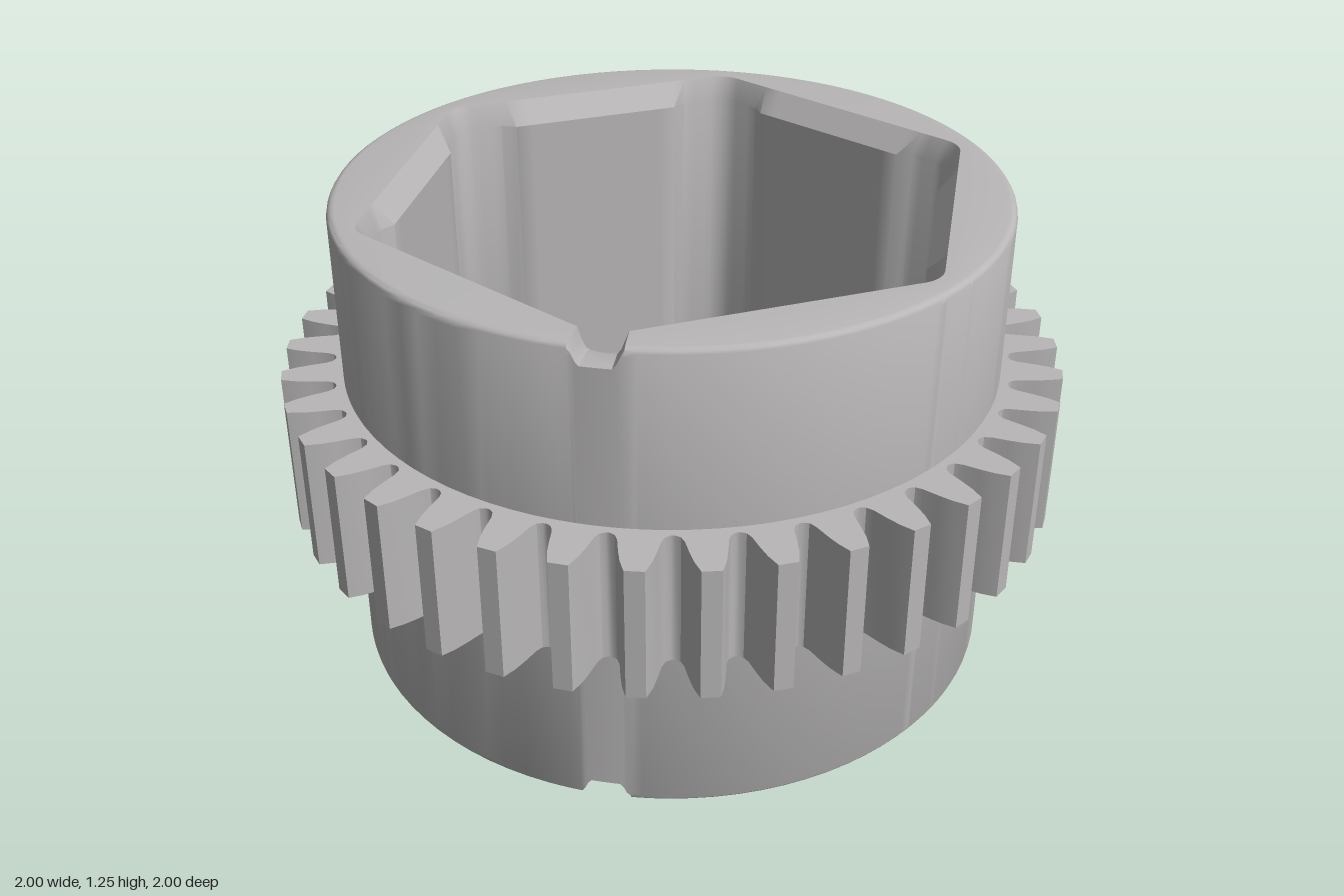
import * as THREE from 'three';
import { toCreasedNormals } from 'three/addons/utils/BufferGeometryUtils.js';

const HEIGHT = 1.25, RADIUS = 0.845, FILLET = 0.02, BEVEL = 0.06;
const RAD = Math.PI / 180;

// Radius of a hexagon with rounded corners; psi is the angle from a corner
function hexRadius(apothem, psi, round = 0.08) {
  const phi = Math.PI / 6 - Math.abs(psi);
  const t = Math.tan(Math.PI / 6);
  if (Math.tan(phi) < ((apothem - round) / apothem) * t) return apothem / Math.cos(phi);
  const d = (apothem - round) / Math.cos(Math.PI / 6);
  return d * Math.cos(psi) + Math.sqrt(round ** 2 - (d * Math.sin(psi)) ** 2);
}

// Bore apothem: raised flats that step back near each corner
function boreApothem(psi) {
  const deg = Math.abs(psi) / RAD;
  return 0.668 - 0.023 * THREE.MathUtils.clamp((deg - 8.2) / 2.15, 0, 1);
}

// Hollow drum, lofted from one closed section per angle
function drumGeometry() {
  const half = [0, 0.8, 1.6, 2.4, 3, 3.5, 4.2, 6, 8.2, 10.35, 14, 18, 22, 26];
  const offsets = [...half.slice(1).map((a) => -a).reverse(), ...half, 30];
  const columns = [];
  for (let k = 0; k < 6; k++) {
    for (const o of offsets) {
      const psi = o * RAD;
      // Notch depth at the front right corner
      const notch = k === 2 ? 0.05 * THREE.MathUtils.clamp((4.2 - Math.abs(o)) / 1.5, 0, 1) : 0;
      const section = [];
      for (let i = 0; i <= 4; i++) {
        const a = (i / 4) * Math.PI / 2;
        section.push([RADIUS - FILLET * (1 - Math.cos(a)), HEIGHT - FILLET * (1 - Math.sin(a))]);
      }
      section.push([hexRadius(0.69, psi), HEIGHT]);
      section.push([hexRadius(boreApothem(psi), psi), HEIGHT - BEVEL]);
      const lower = section.map(([r, y]) => [r, HEIGHT - y]).reverse();
      const loop = [...section, ...lower].map(([r, y]) =>
        [r, THREE.MathUtils.clamp(y, notch, HEIGHT - notch)]);
      columns.push({ angle: k * Math.PI / 3 + psi, loop });
    }
  }
  const positions = [], index = [];
  const n = columns[0].loop.length;
  columns.forEach(({ angle, loop }, c) => {
    const next = (c + 1) % columns.length;
    loop.forEach(([r, y], j) => {
      positions.push(r * Math.cos(angle), y, r * Math.sin(angle));
      const j2 = (j + 1) % n;
      const a = c * n + j, b = c * n + j2, d = next * n + j, e = next * n + j2;
      index.push(a, b, d, b, e, d);
    });
  });
  const geometry = new THREE.BufferGeometry();
  geometry.setAttribute('position', new THREE.Float32BufferAttribute(positions, 3));
  geometry.setIndex(index);
  return toCreasedNormals(geometry, 0.6);
}

// Toothed ring around the middle of the drum
function gearGeometry() {
  const teeth = 38;
  // Radius and half width up one flank of a tooth
  const flank = [[0.866, 0.067], [0.873, 0.055], [0.89, 0.048], [0.93, 0.042], [0.965, 0.035], [1, 0.023]];
  const points = [];
  for (let i = 0; i < teeth; i++) {
    const centre = (i / teeth) * Math.PI * 2;
    const add = (r, w) => {
      const a = centre + w / r;
      points.push(new THREE.Vector2(r * Math.cos(a), r * Math.sin(a)));
    };
    flank.forEach(([r, w]) => add(r, -w));
    [...flank].reverse().forEach(([r, w]) => add(r, w));
  }
  const shape = new THREE.Shape(points);
  shape.holes.push(new THREE.Path().absarc(0, 0, 0.82, 0, Math.PI * 2, true));
  const geometry = new THREE.ExtrudeGeometry(shape, { depth: 0.345, bevelEnabled: false, curveSegments: 48 });
  geometry.rotateX(-Math.PI / 2).translate(0, 0.457, 0);
  return toCreasedNormals(geometry, 0.6);
}

export function createModel() {
  const metal = new THREE.MeshStandardMaterial({ color: 0xb8b6b6 });
  metal.name = 'grey metal';

  const group = new THREE.Group();
  group.name = 'gearSleeve';

  const drum = new THREE.Mesh(drumGeometry(), metal);
  drum.name = 'hexBoreDrum';
  const gear = new THREE.Mesh(gearGeometry(), metal);
  gear.name = 'gearRing';
  group.add(drum, gear);
  return group;
}
